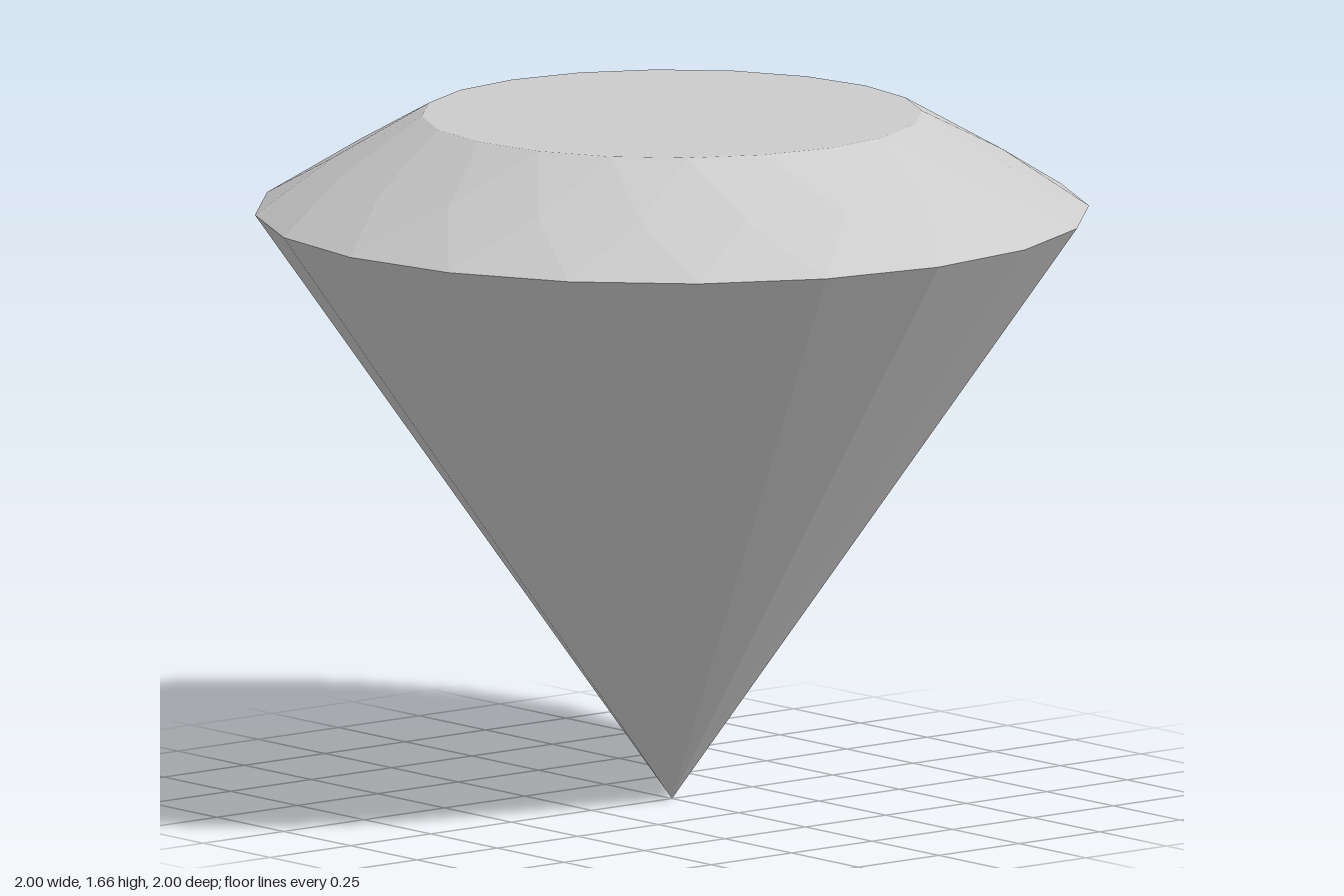
import * as THREE from 'three';

const SIDES = 20;
const STEP = (Math.PI * 2) / SIDES;
const GIRDLE_Y = 1.43, TABLE_Y = 1.665;
const GIRDLE_R = 1, TABLE_R = 0.6;

// point on a horizontal ring, counted in facet steps
const ringPoint = (radius, y) => (i) => [Math.sin(i * STEP) * radius, y, Math.cos(i * STEP) * radius];

const girdle = ringPoint(GIRDLE_R, GIRDLE_Y);
const table = ringPoint(TABLE_R, TABLE_Y);
// the middle ring sits half a step round, just far enough out to keep the kites flat
const middle = ringPoint((GIRDLE_R + TABLE_R) / 2 / Math.cos(STEP / 2), (GIRDLE_Y + TABLE_Y) / 2);

// repeats a list of triangles around the stone
function facetedPart(name, facets) {
  const points = [];
  for (let i = 0; i < SIDES; i++) points.push(...facets(i).flat(2));
  const geometry = new THREE.BufferGeometry();
  geometry.setAttribute('position', new THREE.Float32BufferAttribute(points, 3));
  geometry.computeVertexNormals();
  const material = new THREE.MeshStandardMaterial({ color: 0xcccccc, flatShading: true });
  const mesh = new THREE.Mesh(geometry, material);
  mesh.name = name;
  return mesh;
}

export function createModel() {
  const gem = new THREE.Group();
  gem.name = 'gem';

  // flat top
  gem.add(facetedPart('table', (i) => [[[0, TABLE_Y, 0], table(i), table(i + 1)]]));

  // sloping rim: kites with triangles above and below
  gem.add(facetedPart('crown', (i) => [
    [girdle(i), middle(i + 0.5), table(i)],
    [girdle(i), table(i), middle(i - 0.5)],
    [girdle(i), girdle(i + 1), middle(i + 0.5)],
    [table(i), middle(i + 0.5), table(i + 1)],
  ]));

  // long facets running down to the point
  gem.add(facetedPart('pavilion', (i) => [[[0, 0, 0], girdle(i + 1), girdle(i)]]));

  return gem;
}
